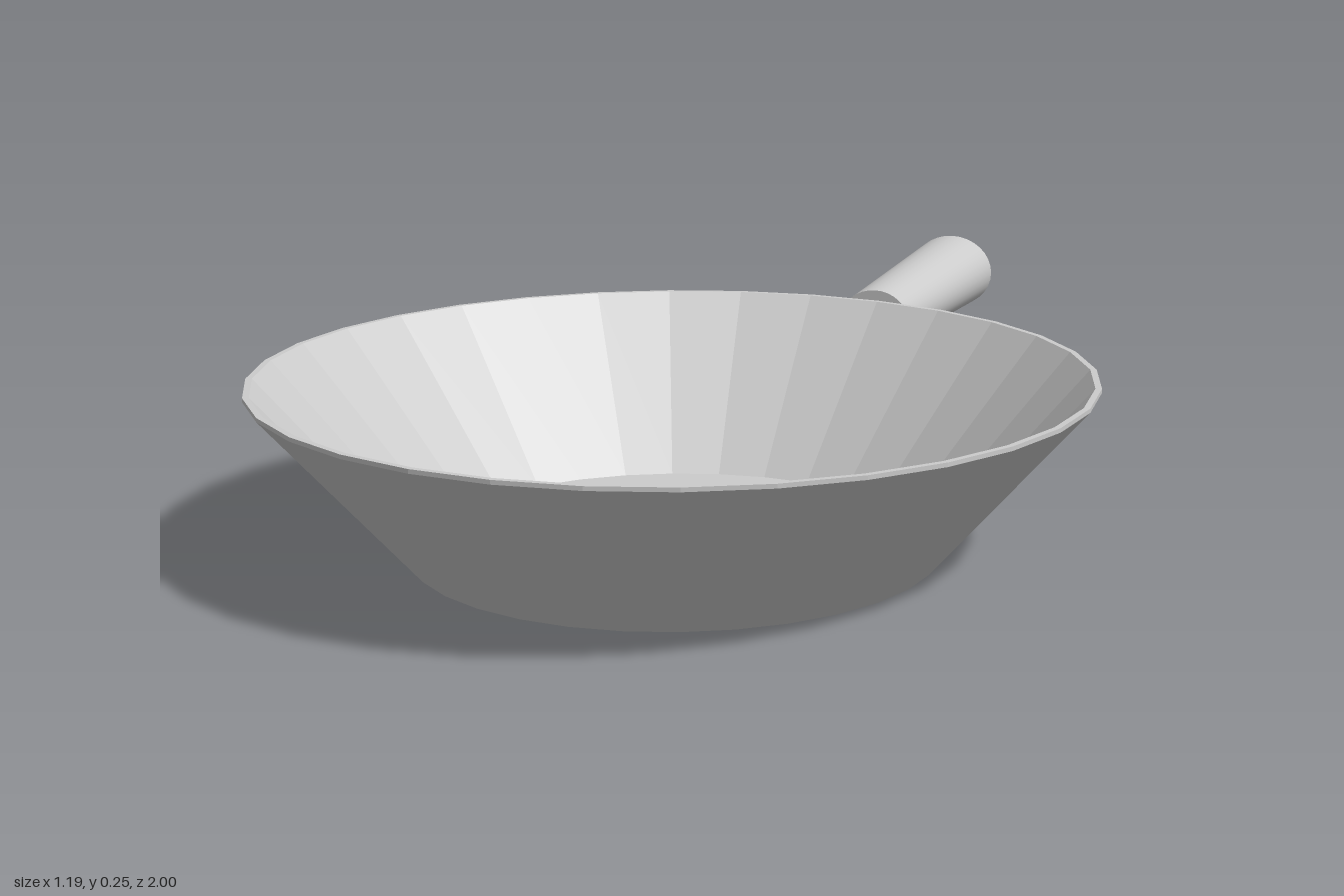
import * as THREE from 'three';

const PAN_Z = 0.403, HANDLE_Y = 0.147;
const BASE_R = 0.376, RIM_R = 0.597, RIM_Y = 0.249;

function part(name, geometry, flatShading) {
  const material = new THREE.MeshStandardMaterial({ color: 0xcccccc, flatShading });
  const mesh = new THREE.Mesh(geometry, material);
  mesh.name = name;
  return mesh;
}

// Tapered oval rod running backwards along z
function rod(frontR, backR, frontZ, backZ, flatten) {
  const g = new THREE.CylinderGeometry(backR, frontR, frontZ - backZ, 32);
  g.rotateX(-Math.PI / 2);
  g.scale(1, flatten, 1);
  g.translate(0, HANDLE_Y, (frontZ + backZ) / 2);
  return g;
}

export function createModel() {
  const pan = new THREE.Group();
  pan.name = 'fryingPan';

  // Bowl: faceted thin shell with a flat base and a narrow rim
  const profile = [
    [0, 0], [BASE_R, 0], [RIM_R, RIM_Y], [RIM_R, 0.255],
    [0.588, 0.255], [0.371, 0.01], [0, 0.01],
  ].map(([r, y]) => new THREE.Vector2(r, y));
  const bowl = part('bowl', new THREE.LatheGeometry(profile, 32), true);
  bowl.position.z = PAN_Z;
  pan.add(bowl);

  // Shaft: its front end is cut to follow the sloping wall
  const shaftGeometry = rod(0.055, 0.055, -0.1, -0.53, 0.51);
  const p = shaftGeometry.attributes.position;
  for (let i = 0; i < p.count; i++) {
    if (p.getZ(i) < -0.3) continue;
    const r = BASE_R + (RIM_R - BASE_R) * p.getY(i) / RIM_Y;
    p.setZ(i, PAN_Z + 0.004 - Math.sqrt(r * r - p.getX(i) ** 2));
  }
  pan.add(part('handleShaft', shaftGeometry, false));

  // Grip: widens towards its flat end
  pan.add(part('handleGrip', rod(0.06, 0.076, -0.525, -1, 0.87), false));

  return pan;
}
